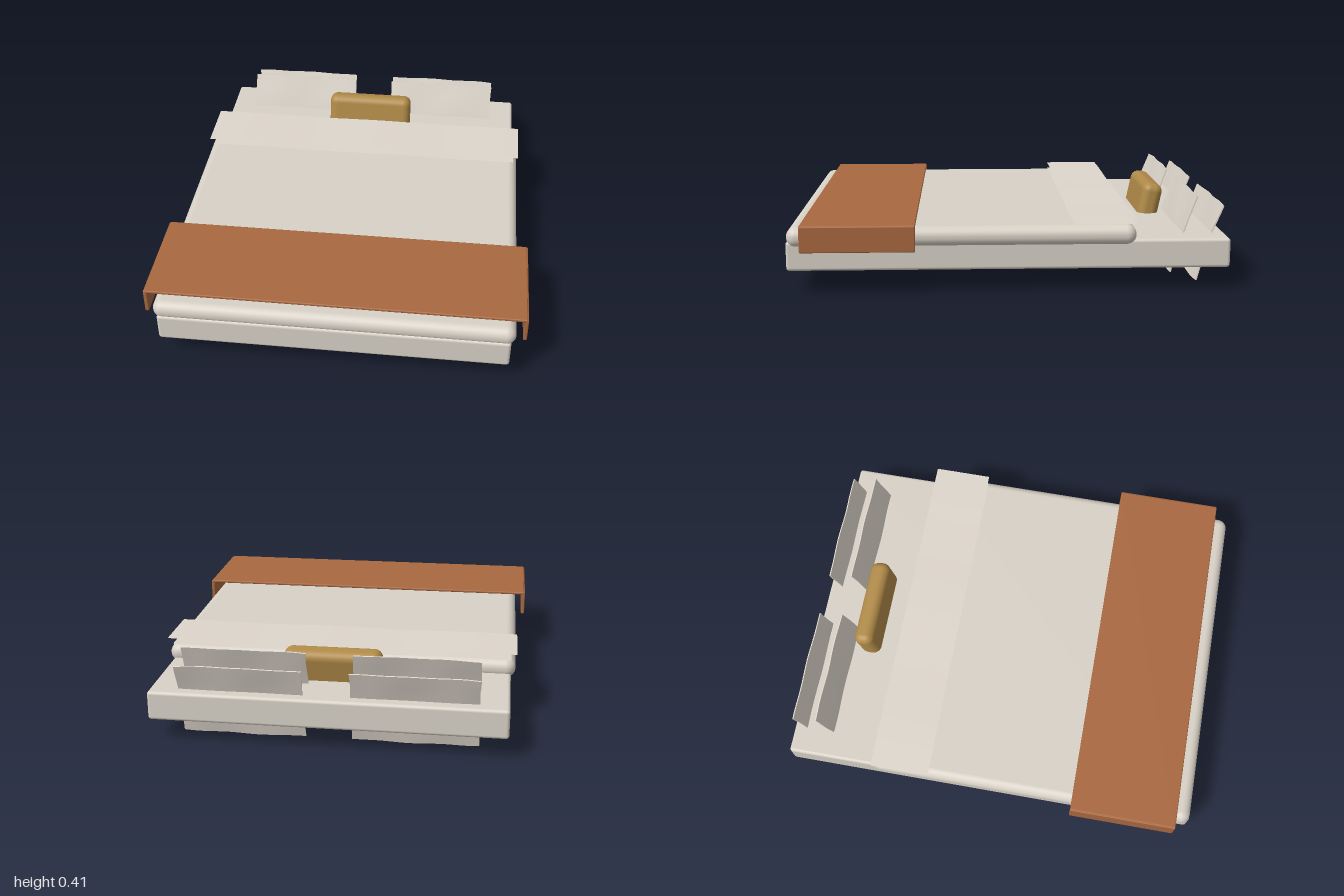
import * as THREE from 'three';
import { RoundedBoxGeometry } from 'three/addons/geometries/RoundedBoxGeometry.js';

const mat = (name, color, side = THREE.FrontSide) => {
  const m = new THREE.MeshStandardMaterial({ color, side });
  m.name = name;
  return m;
};

export function createModel() {
  const bed = new THREE.Group();
  bed.name = 'bedding';
  const linen = mat('linen', 0xd8d1c6);
  const sheetLinen = mat('pillowLinen', 0xded6cc, THREE.DoubleSide);
  const rust = mat('rustBlanket', 0xa8683f);
  const ochre = mat('ochreCushion', 0xb08a48);

  const add = (name, geometry, material, x, y, z) => {
    const mesh = new THREE.Mesh(geometry, material);
    mesh.name = name;
    mesh.position.set(x, y, z);
    bed.add(mesh);
    return mesh;
  };

  // Mattress and the softer duvet lying on it
  add('mattress', new RoundedBoxGeometry(1.6, 0.135, 2, 3, 0.015), linen, 0, 0.173, 0);
  add('duvet', new RoundedBoxGeometry(1.64, 0.092, 1.57, 6, 0.044), linen, 0, 0.259, 0.212);

  // Turned-back sheet: two thin, gently rippled layers
  [[0.309, 1.6], [0.336, 1.65]].forEach(([y, width], i) => {
    const g = new THREE.PlaneGeometry(width, 0.28, 24, 4).rotateX(-Math.PI / 2);
    const p = g.attributes.position;
    for (let k = 0; k < p.count; k++) p.setY(k, 0.002 * Math.sin(p.getX(k) * 9 + i));
    g.computeVertexNormals();
    add(i ? 'upperFold' : 'lowerFold', g, sheetLinen, 0, y, -0.43);
  });

  // Blanket across the foot, with a flap hanging down each side
  add('blanketTop', new RoundedBoxGeometry(1.73, 0.014, 0.51, 2, 0.005), rust, 0, 0.319, 0.675);
  for (const s of [-1, 1]) {
    add(s > 0 ? 'leftBlanketFlap' : 'rightBlanketFlap',
      new RoundedBoxGeometry(0.018, 0.118, 0.51, 2, 0.005), rust, s * 0.861, 0.264, 0.675);
  }

  // Pillows: thin leaning panels with a soft bow and uneven edges
  const pillowGeometry = (seed) => {
    const g = new THREE.BoxGeometry(0.565, 0.38, 0.006, 20, 12, 1);
    const p = g.attributes.position;
    for (let k = 0; k < p.count; k++) {
      const x = p.getX(k), y = p.getY(k);
      p.setZ(k, p.getZ(k) + 0.004 * Math.cos(y * 12) + 0.002 * Math.sin(x * 17 + seed) * Math.cos(y * 14));
      p.setY(k, y * (1 - 0.02 * (x / 0.28) ** 4 + 0.008 * Math.sin(x * 25 + seed)));
      p.setX(k, x * (1 + 0.006 * Math.sin(y * 30 + seed)));
    }
    g.computeVertexNormals();
    return g;
  };
  [[0.232, -0.808, 'frontPillow'], [0.19, -0.928, 'backPillow']].forEach(([y, z, name], i) => {
    for (const s of [-1, 1]) {
      const pillow = add((s > 0 ? 'left-' : 'right-') + name, pillowGeometry(i * 2 + s), sheetLinen, s * 0.388, y, z);
      pillow.rotation.x = -0.32;
    }
  });

  // Small cushion leaning in the middle
  const cushion = add('cushion', new RoundedBoxGeometry(0.45, 0.3, 0.1, 6, 0.04), ochre, 0, 0.24, -0.718);
  cushion.rotation.x = -0.2;

  return bed;
}
